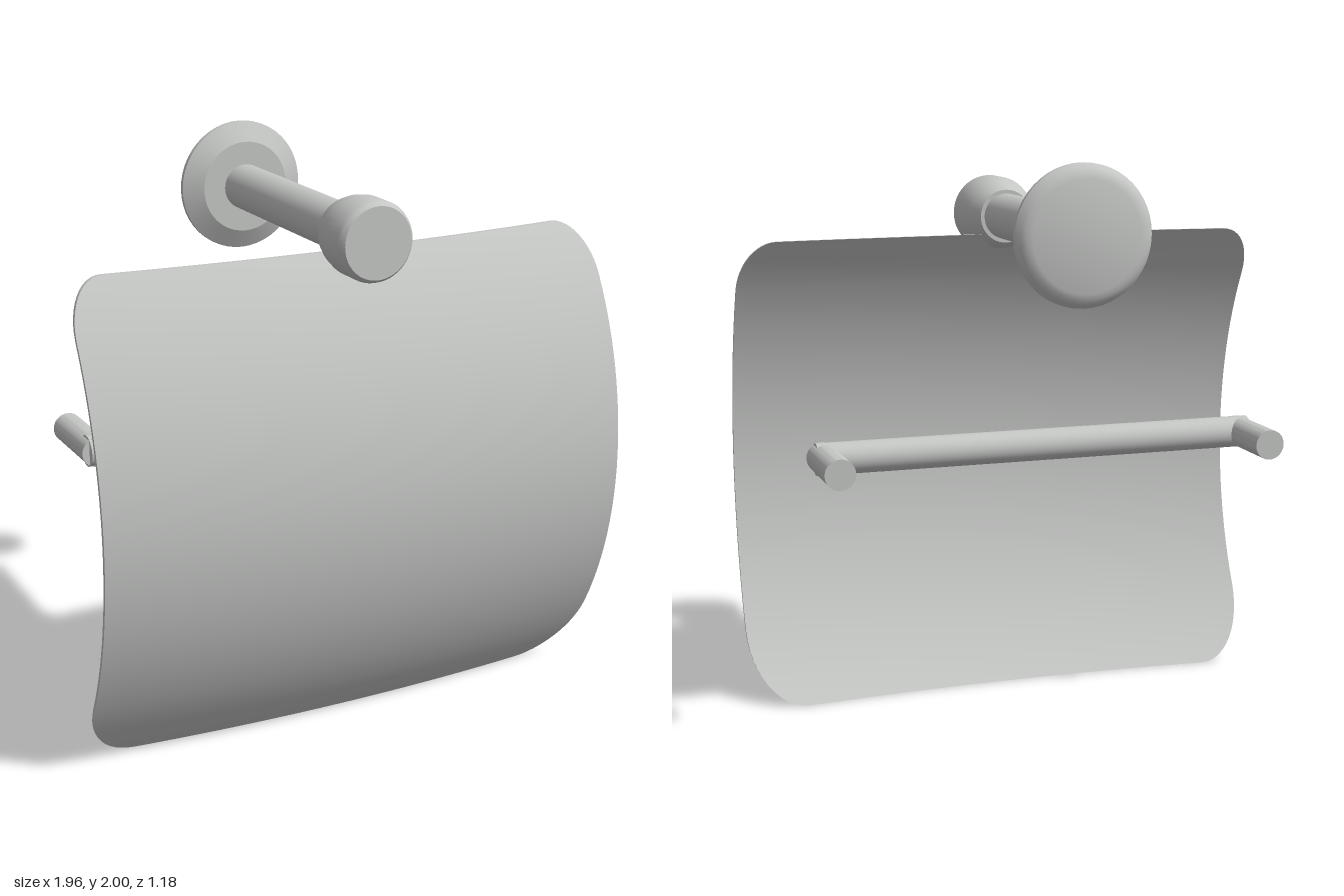
import * as THREE from 'three';
import { toCreasedNormals } from 'three/addons/utils/BufferGeometryUtils.js';

const metal = new THREE.MeshStandardMaterial({ color: 0xc4c6c4 });
metal.name = 'satin metal';

function part(name, geometry) {
  const mesh = new THREE.Mesh(geometry, metal);
  mesh.name = name;
  return mesh;
}

// Solid turned about the z axis from [radius, z] pairs, back to front
function turned(name, profile, crease = 0.45) {
  const lathe = new THREE.LatheGeometry(profile.map(([r, z]) => new THREE.Vector2(r, z)), 48);
  lathe.rotateX(Math.PI / 2);
  return part(name, toCreasedNormals(lathe, crease));
}

// Curved cover plate: a grid whose rows narrow to elliptical corners
function coverGeometry() {
  const W = 0.98, H = 1.7, thick = 0.014, cols = 40;
  const rows = []; // [y, half width]
  const corner = 12, middle = 24;
  const bottom = { rx: 0.2, ry: 0.26 }, top = { rx: 0.13, ry: 0.18 };
  for (let i = 0; i <= corner; i++) {
    const t = (i / corner) * Math.PI / 2;
    rows.push([bottom.ry * (1 - Math.cos(t)), W - bottom.rx * (1 - Math.sin(t))]);
  }
  for (let i = 1; i < middle; i++) {
    rows.push([THREE.MathUtils.lerp(bottom.ry, H - top.ry, i / middle), W]);
  }
  for (let i = corner; i >= 0; i--) {
    const t = (i / corner) * Math.PI / 2;
    rows.push([H - top.ry * (1 - Math.cos(t)), W - top.rx * (1 - Math.sin(t))]);
  }

  const R = 1.32;
  const depth = (x, y) => 0.59 - R + Math.sqrt(R * R - (y - 0.87) ** 2) - 0.06 * (x / W) ** 2;
  const positions = [], index = [];
  const n = cols + 1, size = rows.length * n;
  for (const offset of [0, thick]) {
    for (const [y, w] of rows) {
      for (let c = 0; c <= cols; c++) {
        const x = w * (2 * c / cols - 1);
        positions.push(x, y, depth(x, y) - offset);
      }
    }
  }
  const quad = (a, b, c, d) => index.push(a, b, c, a, c, d);
  for (let r = 0; r < rows.length - 1; r++) {
    for (let c = 0; c < cols; c++) {
      const a = r * n + c;
      quad(a, a + 1, a + n + 1, a + n);
      quad(a + size, a + n + size, a + n + 1 + size, a + 1 + size);
    }
  }
  // Rim joining front and back, counter-clockwise round the outline
  const rim = [], last = rows.length - 1;
  for (let c = 0; c < cols; c++) rim.push(c);
  for (let r = 0; r < last; r++) rim.push(r * n + cols);
  for (let c = cols; c > 0; c--) rim.push(last * n + c);
  for (let r = last; r > 0; r--) rim.push(r * n);
  rim.forEach((a, i) => {
    const b = rim[(i + 1) % rim.length];
    quad(a, a + size, b + size, b);
  });

  const geometry = new THREE.BufferGeometry();
  geometry.setAttribute('position', new THREE.Float32BufferAttribute(positions, 3));
  geometry.setIndex(index);
  return toCreasedNormals(geometry, 0.6);
}

export function createModel() {
  const model = new THREE.Group();
  model.name = 'paperHolder';

  model.add(part('coverPlate', coverGeometry()));

  // Wall mount, post and end knob share one axis
  const mount = new THREE.Group();
  mount.name = 'mount';
  mount.position.y = 1.765;
  mount.add(
    turned('wallFlange', [
      [0, -0.594], [0.185, -0.594], [0.205, -0.588], [0.22, -0.578],
      [0.235, -0.558], [0.235, -0.541], [0.165, -0.504], [0, -0.504],
    ]),
    turned('post', [[0, -0.52], [0.082, -0.52], [0.082, 0.3], [0, 0.3]]),
    turned('knob', [
      [0, 0.27], [0.096, 0.27], [0.115, 0.305], [0.128, 0.342], [0.137, 0.387],
      [0.137, 0.483], [0.132, 0.498], [0.122, 0.51], [0, 0.51],
    ]),
  );
  model.add(mount);

  // Roll bar with a short arm at each end
  const roll = new THREE.Group();
  roll.name = 'rollHolder';
  roll.position.y = 0.99;
  const bar = part('rollBar', new THREE.CylinderGeometry(0.056, 0.056, 1.6, 32));
  bar.rotation.z = Math.PI / 2;
  bar.position.z = -0.102;
  roll.add(bar);
  for (const [side, name] of [[1, 'leftArm'], [-1, 'rightArm']]) {
    const arm = turned(name, [[0, -0.368], [0.053, -0.368], [0.053, -0.073], [0, -0.073]]);
    arm.position.x = side * 0.773;
    roll.add(arm);
  }
  model.add(roll);

  return model;
}
